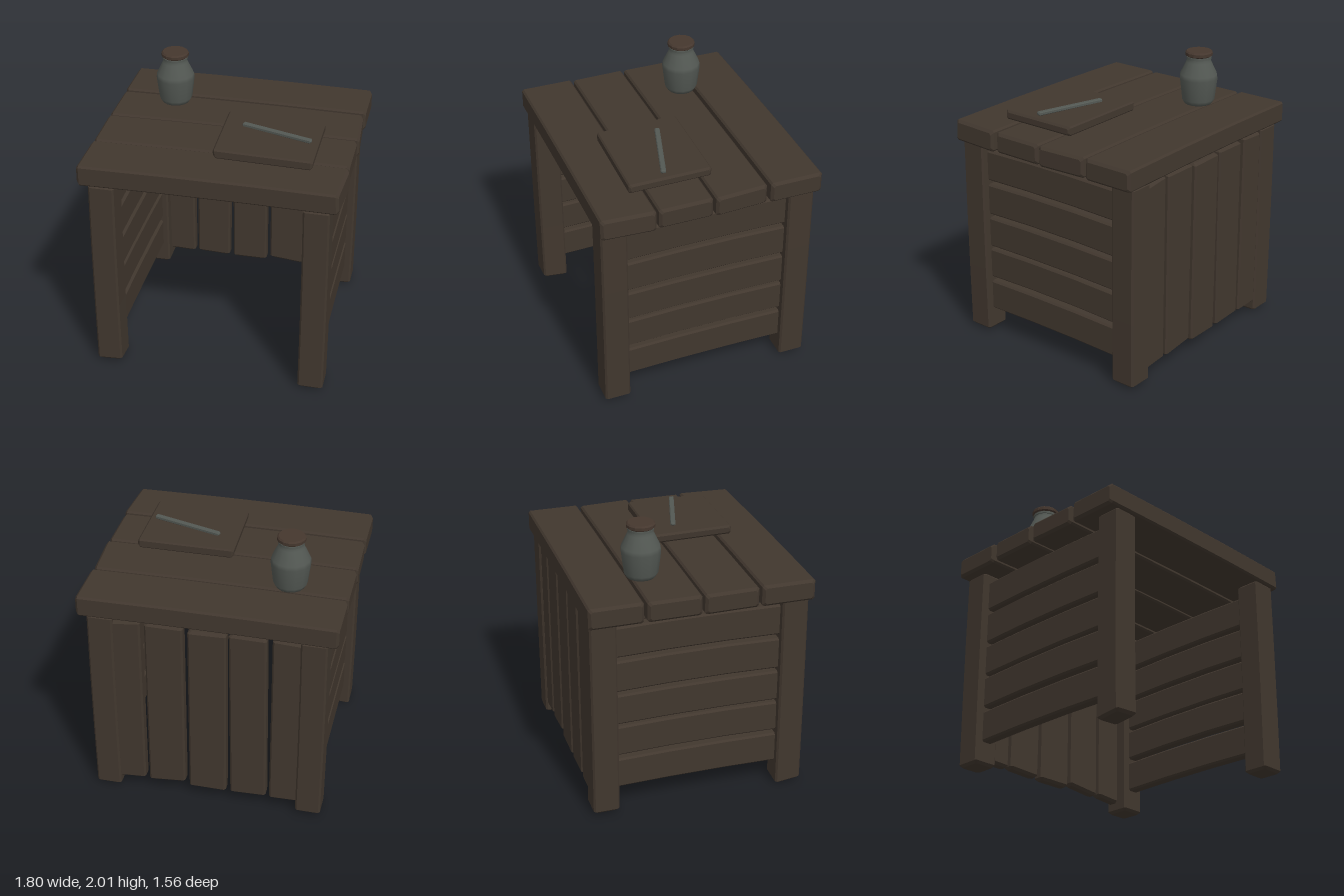
import * as THREE from 'three';

const wood = new THREE.MeshStandardMaterial({ color: 0x41372e });
wood.name = 'dark wood';
const lidBrown = new THREE.MeshStandardMaterial({ color: 0x45372e });
lidBrown.name = 'lid brown';
const grey = new THREE.MeshStandardMaterial({ color: 0x535853 });
grey.name = 'stone grey';

// Chamfered beam along x, lofted from octagonal sections. bow lifts the middle;
// start/end = [ky, kz] slant the two end cuts.
function beamGeometry(L, H, D, { bevel = 0.018, bow = 0, start = [0, 0], end = [0, 0] } = {}) {
  const stations = [[-L / 2, bevel], [-L / 2 + bevel, 0], [-L / 6, 0], [L / 6, 0], [L / 2 - bevel, 0], [L / 2, bevel]];
  const rings = stations.map(([x, inset]) => {
    const h = H / 2 - inset, d = D / 2 - inset, b = bevel * 0.7;
    const t = x / (L / 2), k = t > 0 ? end : start;
    return [[h, -d + b], [h, d - b], [h - b, d], [-h + b, d], [-h, d - b], [-h, -d + b], [-h + b, -d], [h - b, -d]]
      .map(([y, z]) => [x + Math.abs(t) * (k[0] * y + k[1] * z), y + bow * (1 - t * t), z]);
  });
  const pos = [];
  const tri = (a, b, c) => pos.push(...a, ...b, ...c);
  for (let s = 0; s < rings.length - 1; s++) {
    for (let i = 0; i < 8; i++) {
      const j = (i + 1) % 8, p = rings[s], q = rings[s + 1];
      tri(p[i], p[j], q[j]);
      tri(p[i], q[j], q[i]);
    }
  }
  const first = rings[0], last = rings[rings.length - 1];
  for (let i = 1; i < 7; i++) {
    tri(first[0], first[i + 1], first[i]);
    tri(last[0], last[i], last[i + 1]);
  }
  const g = new THREE.BufferGeometry();
  g.setAttribute('position', new THREE.Float32BufferAttribute(pos, 3));
  g.computeVertexNormals();
  return g;
}

function add(parent, name, geometry, material, position, rotation = [0, 0, 0]) {
  const m = new THREE.Mesh(geometry, material);
  m.name = name;
  m.position.set(...position);
  m.rotation.set(...rotation);
  parent.add(m);
  return m;
}

export function createModel() {
  const model = new THREE.Group();
  model.name = 'workTable';

  // Table top: [z back, z front, top height, slant of left end, slant of right end]
  const top = new THREE.Group();
  top.name = 'tableTop';
  model.add(top);
  [
    [-0.785, -0.412, 1.61, [0, 0], [0, 0]],
    [-0.388, -0.015, 1.605, [0, 0], [0, 0.06]],
    [0.003, 0.382, 1.605, [0, 0.02], [0, 0]],
    [0.402, 0.778, 1.61, [0, 0], [-0.06, -0.06]],
  ].forEach(([z0, z1, y, start, end], i) => {
    add(top, 'topPlank' + (i + 1), beamGeometry(1.785, y - 1.46, z1 - z0, { bow: 0.008, start, end }),
      wood, [-0.003, (y + 1.46) / 2, (z0 + z1) / 2]);
  });

  // Corner legs
  for (const sx of [-1, 1]) for (const sz of [-1, 1]) {
    const slant = sx < 0 && sz > 0 ? [-0.06, 0.12] : [0, 0];
    add(model, (sz > 0 ? 'front' : 'back') + (sx > 0 ? 'Left' : 'Right') + 'Leg',
      beamGeometry(1.465, 0.18, 0.185, { bow: sx * -0.004, start: slant }),
      wood, [sx * 0.733, 0.7325, sz * 0.672], [0, 0, Math.PI / 2]);
  }

  // Side slats
  for (const sx of [-1, 1]) {
    const side = new THREE.Group();
    side.name = sx > 0 ? 'leftSideSlats' : 'rightSideSlats';
    model.add(side);
    [[0.16, 0.385], [0.415, 0.64], [0.66, 0.885], [0.91, 1.14], [1.17, 1.395]].forEach(([y0, y1], i) => {
      add(side, 'slat' + (i + 1), beamGeometry(1.22, y1 - y0, 0.085, { bow: i % 2 ? 0.012 : 0.009 }),
        wood, [sx * 0.732, (y0 + y1) / 2, 0], [0, Math.PI / 2, 0]);
    });
  }

  // Upright back boards: [x0, x1, y0, y1, lean, top slant, bottom slant]
  const back = new THREE.Group();
  back.name = 'backBoards';
  model.add(back);
  [
    [-0.71, -0.452, 0.075, 1.44, 0.003, -0.05, 0.03],
    [-0.42, -0.162, 0.075, 1.438, -0.008, -0.02, 0.03],
    [-0.137, 0.13, 0.07, 1.428, 0.004, 0.03, 0],
    [0.162, 0.428, 0.088, 1.442, 0.002, 0, 0.1],
    [0.457, 0.71, 0.075, 1.435, 0.002, 0.12, 0.08],
  ].forEach(([x0, x1, y0, y1, lean, ts, bs], i) => {
    add(back, 'backBoard' + (i + 1), beamGeometry(y1 - y0, x1 - x0, 0.085, { start: [bs, 0], end: [ts, 0] }),
      wood, [(x0 + x1) / 2, (y0 + y1) / 2, -0.708], [0, 0, Math.PI / 2 + lean]);
  });

  // Cutting board and the thin stick on it
  add(model, 'board', beamGeometry(0.685, 0.066, 0.585, { bevel: 0.014, start: [-0.1, 0.04], end: [0, 0.02] }),
    wood, [0.313, 1.652, 0.207], [0, -0.015, -0.012]);
  add(model, 'stick', beamGeometry(0.525, 0.026, 0.036, { bevel: 0.008 }),
    grey, [0.355, 1.695, 0.172], [0, -0.285, 0]);

  // Jar with lid
  const jar = new THREE.Group();
  jar.name = 'jar';
  jar.position.set(-0.485, 0, -0.315);
  model.add(jar);
  const lathe = pts => new THREE.LatheGeometry(pts.map(p => new THREE.Vector2(...p)), 14);
  add(jar, 'jarBody', lathe([[0, 1.612], [0.098, 1.612], [0.118, 1.645], [0.137, 1.8], [0.133, 1.83],
    [0.09, 1.92], [0.083, 1.94], [0.083, 1.962]]), grey, [0, 0, 0]);
  add(jar, 'jarRim', new THREE.CylinderGeometry(0.09, 0.09, 0.016, 14), grey, [0, 1.952, 0]);
  const lid = lathe([[0, 1.962], [0.088, 1.962], [0.098, 1.97], [0.098, 1.99], [0.088, 2.0], [0, 2.0]]).toNonIndexed();
  lid.computeVertexNormals();
  add(jar, 'jarLid', lid, lidBrown, [0, 0, 0]);

  return model;
}
